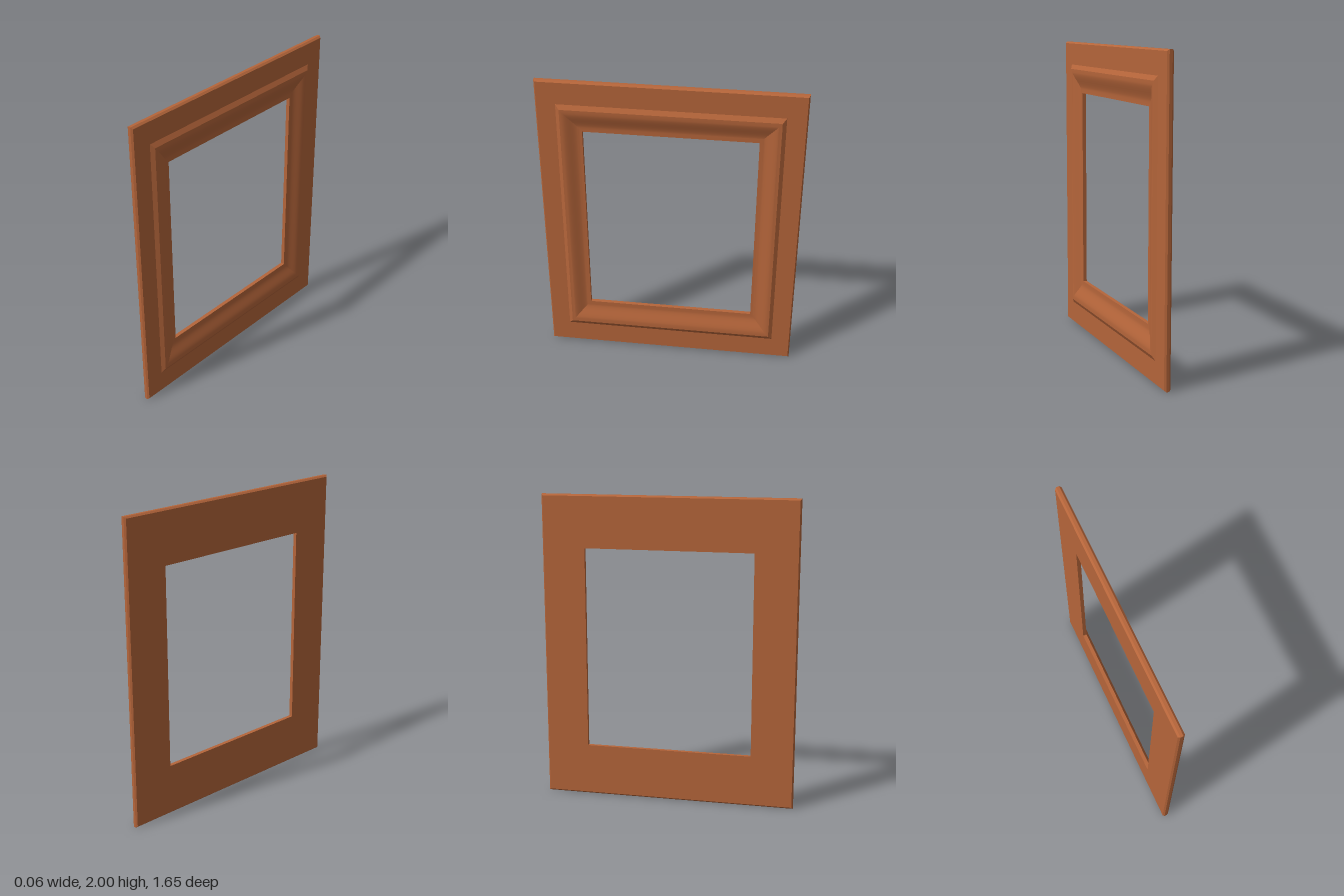
import * as THREE from 'three';
import { toCreasedNormals } from 'three/addons/utils/BufferGeometryUtils.js';

const HALF_Z = 0.825, HALF_Y = 1;          // outer half sizes
const BORDER_Z = 0.28, BORDER_Y = 0.34;    // border widths around the opening
const BACK = -0.029, FACE = 0.013, RIDGE = 0.029, LIP = -0.004;

// Sweeps a profile of [x, t] points round the mitred rectangle;
// t runs from 0 at the outer edge to 1 at the opening.
function sweepFrame(profile) {
  const signs = [[1, -1], [-1, -1], [-1, 1], [1, 1]];
  const corner = ([x, t], i) => {
    const [sz, sy] = signs[i % 4];
    return [x, HALF_Y + sy * (HALF_Y - BORDER_Y * t), sz * (HALF_Z - BORDER_Z * t)];
  };
  const pos = [];
  for (let p = 0; p < profile.length - 1; p++) {
    for (let i = 0; i < 4; i++) {
      const a0 = corner(profile[p], i), a1 = corner(profile[p], i + 1);
      const b0 = corner(profile[p + 1], i), b1 = corner(profile[p + 1], i + 1);
      pos.push(...a0, ...a1, ...b1, ...a0, ...b1, ...b0);
    }
  }
  const geo = new THREE.BufferGeometry();
  geo.setAttribute('position', new THREE.Float32BufferAttribute(pos, 3));
  geo.computeVertexNormals();
  return toCreasedNormals(geo, 0.25);
}

export function createModel() {
  const group = new THREE.Group();
  group.name = 'pictureFrame';
  const wood = new THREE.MeshStandardMaterial({ color: 0xb5653a });
  wood.name = 'warmWood';

  const add = (name, profile) => {
    const mesh = new THREE.Mesh(sweepFrame(profile), wood);
    mesh.name = name;
    group.add(mesh);
  };

  // Flat back, bevelled outer edge and flat front border
  add('outerFrame', [
    [BACK, 1], [BACK, 0.03], [-0.018, 0], [0.001, 0], [FACE, 0.03], [FACE, 0.45],
  ]);

  // Raised bevel, then a gentle S-curve down to the lip and the opening's inner wall
  const moulding = [[FACE, 0.45], [RIDGE, 0.535]];
  const steps = 10;
  for (let i = 0; i <= steps; i++) {
    const s = i / steps;
    const ease = s * s * (3 - 2 * s);
    moulding.push([RIDGE + (LIP - RIDGE) * ease, 0.57 + 0.38 * s]);
  }
  moulding.push([LIP, 1], [BACK, 1]);
  add('innerMoulding', moulding);

  return group;
}
